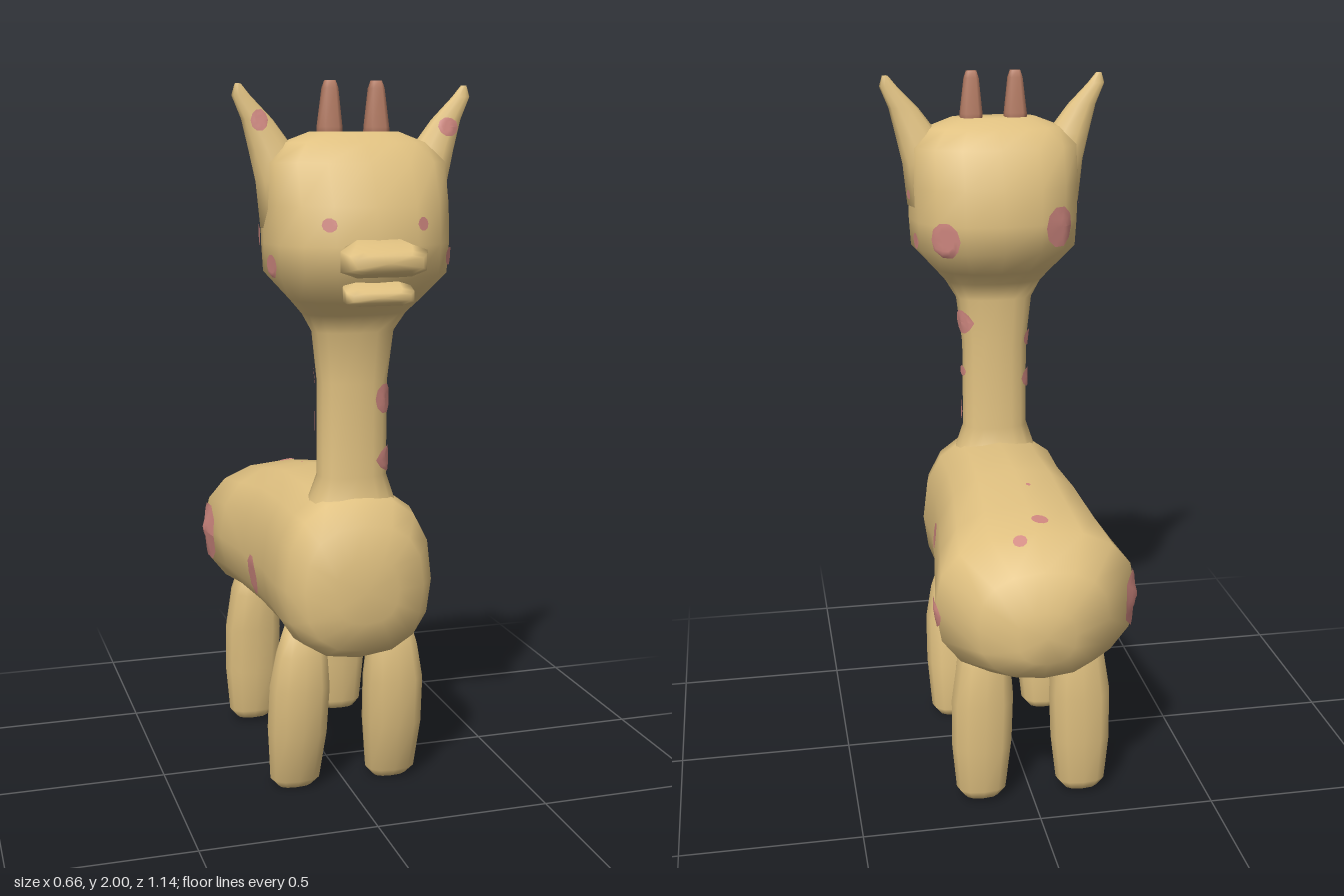
import * as THREE from 'three';

export function createModel() {
  const group = new THREE.Group();
  const mat = (name, color) => {
    const m = new THREE.MeshStandardMaterial({ color });
    m.name = name;
    return m;
  };
  const tan = mat('tan', 0xdfc080);
  const pink = mat('pink', 0xd08880);
  const brown = mat('brown', 0xb57c64);
  const skin = [];

  // Closed skin over rings of points, each end closed to its centre
  const loft = (rings) => {
    const n = rings[0].length;
    const pos = [], idx = [];
    rings.forEach((r) => r.forEach((p) => pos.push(...p)));
    for (let i = 0; i < rings.length - 1; i++) {
      for (let j = 0; j < n; j++) {
        const a = i * n + j, b = i * n + (j + 1) % n;
        idx.push(a, b, b + n, a, b + n, a + n);
      }
    }
    [0, rings.length - 1].forEach((e, k) => {
      const c = pos.length / 3;
      pos.push(...[0, 1, 2].map((q) => rings[e].reduce((s, p) => s + p[q], 0) / n));
      for (let j = 0; j < n; j++) {
        const a = e * n + j, b = e * n + (j + 1) % n;
        if (k) idx.push(c, a, b); else idx.push(c, b, a);
      }
    });
    const g = new THREE.BufferGeometry();
    g.setAttribute('position', new THREE.Float32BufferAttribute(pos, 3));
    g.setIndex(idx);
    g.computeVertexNormals();
    return g;
  };

  const add = (name, geometry, material) => {
    const m = new THREE.Mesh(geometry, material);
    m.name = name;
    group.add(m);
    if (material === tan) skin.push(m);
    return m;
  };

  // Rounded ring: unit points with softened corners (p < 1 is squarer)
  const unit = (n, p, turn = 0) => Array.from({ length: n }, (_, i) => {
    const a = (i / n) * Math.PI * 2 + turn;
    const f = (v) => (Math.abs(v) < 1e-6 ? 0 : Math.sign(v) * Math.abs(v) ** p);
    return [f(Math.cos(a)), f(Math.sin(a))];
  });
  // Level ring: height, centre x, half width, front z, back z
  const level = (n, p, turn = 0) => ([y, cx, w, zf, zb]) => unit(n, p, turn).map(
    ([c, s]) => [cx + c * w, y, (zf + zb) / 2 - s * (zf - zb) / 2]);
  // Upright ring: z, half width, top y, bottom y, height of the widest point
  const upright = (n, p, turn = 0) => ([z, w, top, bot, mid = (top + bot) / 2]) => unit(n, p, turn).map(
    ([c, s]) => [c * w, mid + s * (s > 0 ? top - mid : mid - bot), z]);

  // Body from rump to chest
  add('body', loft([
    [-0.57, 0.08, 0.67, 0.52, 0.6],
    [-0.53, 0.18, 0.77, 0.46, 0.62],
    [-0.42, 0.28, 0.84, 0.42, 0.64],
    [-0.27, 0.26, 0.865, 0.44, 0.64],
    [-0.08, 0.235, 0.9, 0.44, 0.64],
    [0.1, 0.22, 0.9, 0.43, 0.64],
    [0.25, 0.225, 0.9, 0.425, 0.64],
    [0.325, 0.21, 0.89, 0.43, 0.64],
    [0.375, 0.17, 0.82, 0.465, 0.64],
    [0.4, 0.09, 0.73, 0.55, 0.64],
  ].map(upright(16, 0.82))), tan);

  // Neck and head in one skin
  add('neckAndHead', loft([
    [0.78, 0, 0.17, 0.36, 0.1],
    [0.86, 0, 0.125, 0.335, 0.15],
    [0.94, 0, 0.098, 0.312, 0.178],
    [1.2, 0, 0.098, 0.312, 0.18],
    [1.34, 0, 0.115, 0.32, 0.18],
    [1.39, 0, 0.145, 0.35, 0.17],
    [1.43, 0, 0.18, 0.41, 0.12],
    [1.5, 0, 0.245, 0.475, 0.055],
    [1.58, 0, 0.25, 0.482, 0.05],
    [1.68, 0, 0.252, 0.462, 0.06],
    [1.79, 0, 0.25, 0.405, 0.105],
    [1.84, 0, 0.2, 0.35, 0.16],
    [1.868, 0, 0.125, 0.315, 0.205],
  ].map(level(16, 0.85))), tan);

  // Muzzle: broad upper lip over a shorter lower jaw
  add('upperLip', loft([
    [0.44, 0.085, 1.605, 1.495],
    [0.475, 0.095, 1.6, 1.5],
    [0.515, 0.12, 1.59, 1.505],
    [0.55, 0.105, 1.575, 1.515],
    [0.568, 0.09, 1.565, 1.525],
  ].map(upright(8, 0.5, Math.PI / 8))), tan);
  add('lowerJaw', loft([
    [0.4, 0.08, 1.5, 1.435],
    [0.46, 0.095, 1.49, 1.43],
    [0.49, 0.095, 1.475, 1.43],
    [0.505, 0.08, 1.465, 1.44],
  ].map(upright(8, 0.5, Math.PI / 8))), tan);

  [1, -1].forEach((s) => {
    const side = s > 0 ? 'left' : 'right';
    // Pointed ear flaring out of the head
    add(side + 'Ear', loft([
      [1.62, s * 0.17, 0.085, 0.33, 0.17],
      [1.74, s * 0.185, 0.082, 0.315, 0.185],
      [1.82, s * 0.222, 0.063, 0.292, 0.208],
      [1.9, s * 0.262, 0.042, 0.274, 0.226],
      [1.96, s * 0.304, 0.025, 0.262, 0.238],
      [1.99, s * 0.312, 0.008, 0.256, 0.244],
    ].map(level(10, 0.9))), tan);
    // Tapered horn
    add(side + 'Horn', loft([
      [1.84, s * 0.065, 0.034, 0.278, 0.222],
      [1.88, s * 0.065, 0.033, 0.276, 0.224],
      [1.98, s * 0.064, 0.022, 0.265, 0.235],
      [2.0, s * 0.064, 0.015, 0.26, 0.24],
    ].map(level(8, 0.6, Math.PI / 8))), brown);
    // Stout legs
    add(side + 'FrontLeg', loft([
      [0.003, s * 0.145, 0.05, 0.195, 0.13],
      [0.03, s * 0.145, 0.073, 0.22, 0.112],
      [0.18, s * 0.143, 0.086, 0.26, 0.114],
      [0.32, s * 0.14, 0.088, 0.272, 0.138],
      [0.42, s * 0.135, 0.075, 0.264, 0.16],
      [0.5, s * 0.13, 0.055, 0.24, 0.18],
    ].map(level(12, 0.8))), tan);
    add(side + 'BackLeg', loft([
      [0.018, s * 0.145, 0.05, -0.32, -0.392],
      [0.045, s * 0.145, 0.072, -0.305, -0.405],
      [0.18, s * 0.143, 0.086, -0.29, -0.418],
      [0.32, s * 0.14, 0.088, -0.282, -0.42],
      [0.44, s * 0.135, 0.075, -0.27, -0.415],
      [0.52, s * 0.13, 0.055, -0.29, -0.39],
    ].map(level(12, 0.8))), tan);
  });

  // Spots: thin discs laid on the skin along a direction
  const ray = new THREE.Raycaster();
  const spot = (p, d, w, h) => {
    const dir = new THREE.Vector3(...d).normalize();
    const up = Math.abs(dir.y) > 0.8 ? new THREE.Vector3(0, 0, -1) : new THREE.Vector3(0, 1, 0);
    const u = up.clone().cross(dir).normalize();
    const v = dir.clone().cross(u);
    const g = new THREE.RingGeometry(0.001, 1, 10, 5);
    const at = g.attributes.position;
    let last = new THREE.Vector3(...p);
    for (let i = 0; i < at.count; i++) {
      const q = new THREE.Vector3(...p).addScaledVector(u, at.getX(i) * w).addScaledVector(v, at.getY(i) * h);
      ray.set(q.clone().addScaledVector(dir, 0.4), dir.clone().negate());
      const hit = ray.intersectObjects(skin, false)[0];
      if (hit && hit.distance < 0.6) last = hit.point.addScaledVector(dir, 0.003).addScaledVector(hit.face.normal, 0.003);
      at.setXYZ(i, last.x, last.y, last.z);
    }
    g.computeVertexNormals();
    add('spot', g, pink);
  };
  const L = [1, 0, 0], R = [-1, 0, 0], F = [0, 0, 1], T = [0, 1, 0];
  [
    // Body
    [[0.23, 0.55, 0.01], L, 0.045, 0.05],
    [[0.24, 0.545, -0.16], L, 0.08, 0.085],
    [[0.23, 0.71, -0.08], L, 0.046, 0.037],
    [[0.28, 0.62, -0.4], L, 0.037, 0.042],
    [[-0.27, 0.63, -0.4], [-1, 0, -0.3], 0.075, 0.09],
    [[-0.23, 0.6, 0.01], R, 0.035, 0.06],
    [[0.05, 0.84, -0.44], T, 0.02, 0.016],
    [[-0.02, 0.85, -0.36], T, 0.024, 0.022],
    [[-0.025, 0.88, -0.17], T, 0.007, 0.007],
    // Neck
    [[0.1, 1.27, 0.22], L, 0.028, 0.037],
    [[0.07, 1.155, 0.285], [0.7, 0, 0.7], 0.034, 0.042],
    [[0.1, 1.115, 0.23], L, 0.018, 0.016],
    [[0.1, 0.985, 0.27], L, 0.036, 0.038],
    [[-0.09, 1.215, 0.22], R, 0.02, 0.025],
    [[-0.09, 1.09, 0.22], R, 0.025, 0.03],
    // Head
    [[0.23, 1.545, 0.37], [1, 0, 0.4], 0.032, 0.024],
    [[0.25, 1.525, 0.19], L, 0.021, 0.024],
    [[0.25, 1.655, 0.22], L, 0.012, 0.014],
    [[0.17, 1.54, 0.09], [0.7, 0, -0.7], 0.045, 0.052],
    [[-0.17, 1.57, 0.09], [-0.7, 0, -0.7], 0.05, 0.06],
    [[-0.25, 1.6, 0.2], R, 0.028, 0.03],
    [[-0.24, 1.525, 0.32], R, 0.03, 0.03],
    [[0.125, 1.635, 0.45], F, 0.016, 0.018],
    [[-0.125, 1.635, 0.45], F, 0.018, 0.018],
    // Ears
    [[0.258, 1.88, 0.27], F, 0.028, 0.025],
    [[-0.262, 1.897, 0.27], F, 0.022, 0.028],
  ].forEach((a) => spot(...a));

  return group;
}
